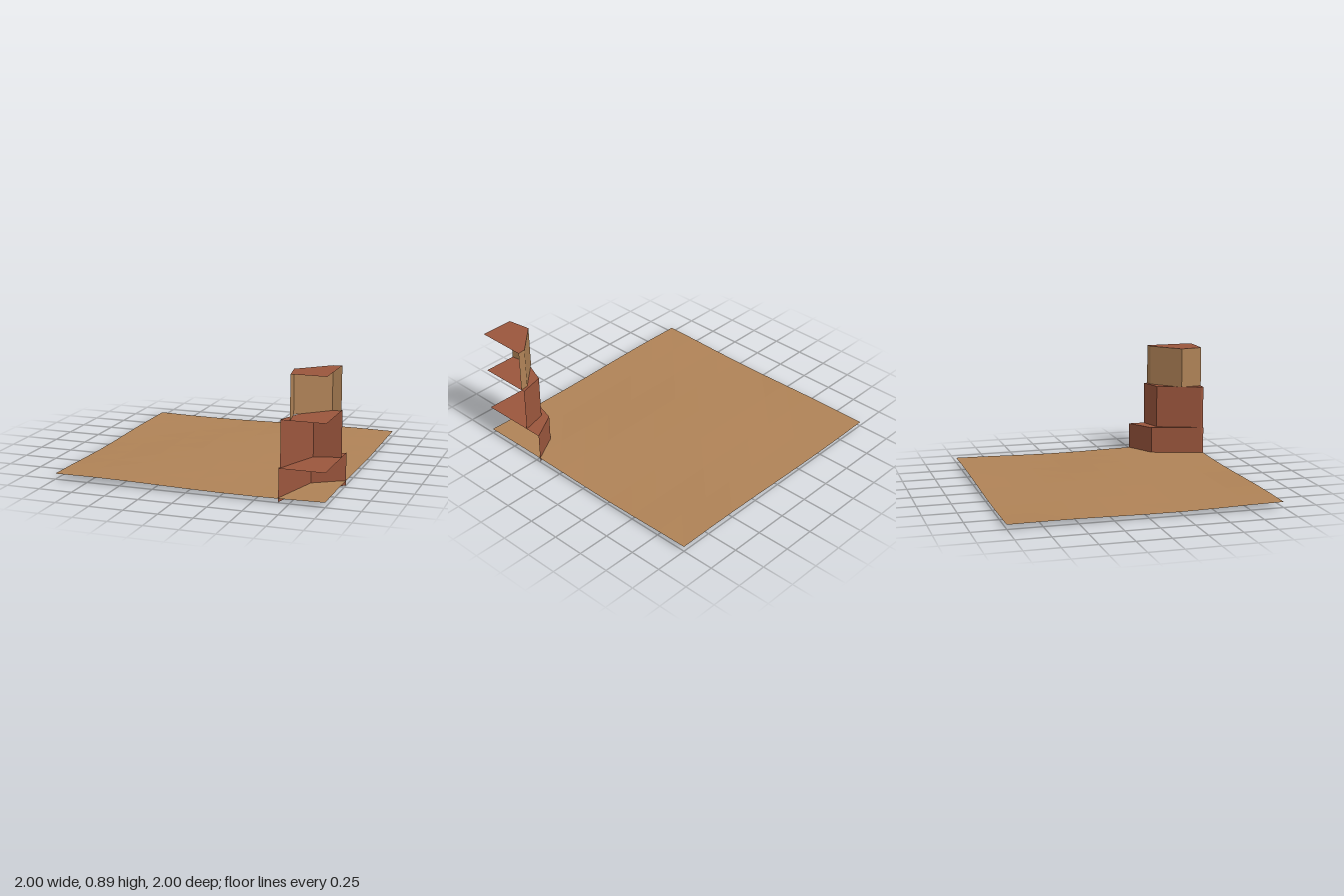
import * as THREE from 'three';

const sand = new THREE.MeshStandardMaterial({ color: 0xb08357, side: THREE.DoubleSide, flatShading: true });
sand.name = 'sand';
const redRock = new THREE.MeshStandardMaterial({ color: 0x9b563d, side: THREE.DoubleSide, flatShading: true });
redRock.name = 'red rock';

// Vertical walls along an outline of [x, z] points
function makeWall(outline, y0, y1) {
  const pos = [];
  for (let i = 0; i < outline.length - 1; i++) {
    const [ax, az] = outline[i], [bx, bz] = outline[i + 1];
    // wound so the front faces away from the rock corner
    pos.push(ax, y0, az, bx, y1, bz, bx, y0, bz);
    pos.push(ax, y0, az, ax, y1, az, bx, y1, bz);
  }
  const g = new THREE.BufferGeometry();
  g.setAttribute('position', new THREE.Float32BufferAttribute(pos, 3));
  g.computeVertexNormals();
  return g;
}

// Flat cap filling the outline out to the tile corner
function makeCap(outline, y) {
  const shape = new THREE.Shape([...outline, [1, 1]].map(([x, z]) => new THREE.Vector2(x, -z)));
  return new THREE.ShapeGeometry(shape).rotateX(-Math.PI / 2).translate(0, y, 0);
}

export function createModel() {
  const model = new THREE.Group();
  model.name = 'desertTile';
  const add = (name, geometry, material, parent) => {
    const mesh = new THREE.Mesh(geometry, material);
    mesh.name = name;
    parent.add(mesh);
  };

  // Gently rolling ground sheet
  const ground = new THREE.PlaneGeometry(2, 2, 8, 8).rotateX(-Math.PI / 2);
  const p = ground.attributes.position;
  for (let i = 0; i < p.count; i++) {
    const x = p.getX(i), z = p.getZ(i);
    p.setY(i, 0.035 + 0.005 * Math.sin(3.1 * x + 1.9 * z + 1.8) + 0.004 * Math.cos(4.3 * z - 2.2 * x));
  }
  ground.computeVertexNormals();
  add('ground', ground, sand, model);

  // Stepped rock in the corner, cut open along the two tile edges
  const rock = new THREE.Group();
  rock.name = 'steppedRock';
  model.add(rock);
  const tiers = [
    { name: 'lowerTier', y: [0, 0.24], wall: redRock, outline: [[0.672, 1], [0.668, 0.98], [0.78, 0.587], [1, 0.46]] },
    { name: 'middleTier', y: [0.24, 0.577], wall: redRock, outline: [[0.684, 1], [0.68, 0.98], [0.81, 0.64], [1, 0.59]] },
    { name: 'upperTier', y: [0.577, 0.893], wall: sand, outline: [[0.75, 1], [0.722, 0.825], [0.937, 0.625], [1, 0.617]] },
  ];
  for (const { name, y, wall, outline } of tiers) {
    add(name + 'Wall', makeWall(outline, y[0], y[1]), wall, rock);
    add(name + 'Top', makeCap(outline, y[1]), redRock, rock);
  }
  return model;
}
